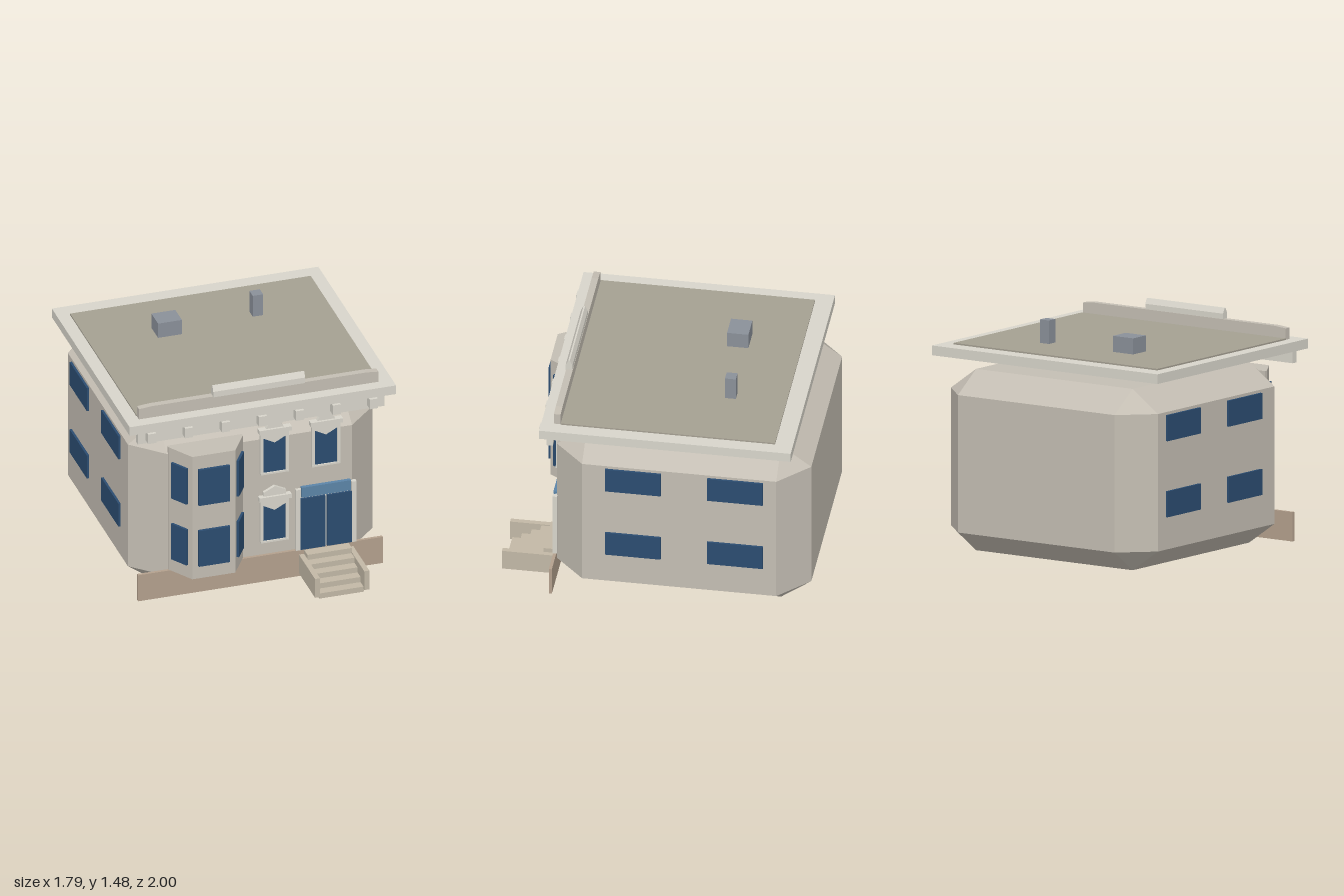
import * as THREE from 'three';
import { ConvexGeometry } from 'three/addons/geometries/ConvexGeometry.js';

const mat = (color) => new THREE.MeshStandardMaterial({ color, flatShading: true });

export function createModel() {
  const house = new THREE.Group();
  house.name = 'house';
  const wall = mat(0xc4beb3), trim = mat(0xd8d5cb), roofing = mat(0xa5a092), glass = mat(0x2b4c70);
  const transomGlass = mat(0x5c85a8), base = mat(0xb3a08d), stone = mat(0xc2b8a6), chimneyGrey = mat(0x8a9099);

  const add = (name, geometry, material, parent = house) => {
    const mesh = new THREE.Mesh(geometry, material);
    mesh.name = name;
    parent.add(mesh);
    return mesh;
  };
  // Box given by its limits on each axis
  const box = (name, material, x0, x1, y0, y1, z0, z1, parent) => {
    const mesh = add(name, new THREE.BoxGeometry(x1 - x0, y1 - y0, z1 - z0), material, parent);
    mesh.position.set((x0 + x1) / 2, (y0 + y1) / 2, (z0 + z1) / 2);
    return mesh;
  };
  // Flat outline extruded towards +z
  const plate = (name, material, points, z0, z1, parent) => {
    const shape = new THREE.Shape(points.map(([x, y]) => new THREE.Vector2(x, y)));
    const geometry = new THREE.ExtrudeGeometry(shape, { depth: z1 - z0, bevelEnabled: false });
    geometry.translate(0, 0, z0);
    return add(name, geometry, material, parent);
  };

  // Main block with wide chamfers on every edge
  const corners = [];
  const half = [0.82, 0.5875, 0.8225], cut = [0.2, 0.142, 0.195];
  for (const sx of [-1, 1]) for (const sy of [-1, 1]) for (const sz of [-1, 1]) {
    for (let keep = 0; keep < 3; keep++) {
      const p = [sx, sy, sz].map((s, i) => s * (half[i] - (i === keep ? 0 : cut[i])));
      corners.push(new THREE.Vector3(p[0], p[1] + 0.5875, p[2] - 0.1775));
    }
  }
  add('mainBlock', new ConvexGeometry(corners), wall);

  // Side windows
  for (const side of [-1, 1]) for (const z of [0.12, -0.54]) for (const y of [0.437, 0.93]) {
    const pane = add('sideWindow', new THREE.BoxGeometry(0.03, 0.168, 0.36), glass);
    pane.position.set(side * 0.82, y, z);
  }

  // Base strip along the front
  box('basePlinth', base, -0.82, 0.82, 0, 0.19, 0.645, 0.665);

  // Roof slab, deck, frieze and brackets
  box('roofSlab', trim, -0.893, 0.893, 1.25, 1.313, -0.91, 0.715);
  box('roofDeck', roofing, -0.808, 0.805, 1.31, 1.323, -0.795, 0.59);
  box('frieze', trim, -0.827, 0.825, 1.157, 1.245, 0.638, 0.68);
  for (let i = 0; i < 7; i++) {
    const x = -0.748 + i * 0.2475;
    box('bracket', trim, x - 0.027, x + 0.027, 1.18, 1.25, 0.67, 0.735);
  }

  // Parapet with a raised, ridged centre
  plate('parapet', wall, [[-0.805, 1.31], [0.8, 1.31], [0.8, 1.387], [0.72, 1.395],
    [-0.72, 1.395], [-0.805, 1.387]], 0.592, 0.635);
  const crest = plate('parapetCrest', trim, [[-0.022, 1.39], [0.022, 1.39], [0.022, 1.43],
    [0.005, 1.465], [-0.005, 1.465], [-0.022, 1.43]], -0.308, 0.308);
  crest.rotation.y = Math.PI / 2;
  crest.position.z = 0.616;

  // Chimneys
  box('chimney', chimneyGrey, -0.37, -0.21, 1.31, 1.427, -0.46, -0.322);
  box('chimney', chimneyGrey, 0.29, 0.36, 1.31, 1.475, -0.47, -0.4);

  // Two-storey bay
  const bay = new THREE.Group();
  bay.name = 'bay';
  bay.position.x = -0.363;
  house.add(bay);
  const bayBody = plate('bayBody', wall, [[-0.25, -0.63], [-0.25, -0.65], [-0.144, -0.82],
    [0.144, -0.82], [0.25, -0.65], [0.25, -0.63]], 0.19, 1.085, bay);
  bayBody.rotation.x = -Math.PI / 2;
  for (const y of [0.415, 0.86]) {
    box('bayFrontWindow', glass, -0.106, 0.104, y - 0.13, y + 0.13, 0.81, 0.84, bay);
    for (const side of [-1, 1]) {
      const pane = add('baySideWindow', new THREE.BoxGeometry(0.13, 0.26, 0.03), glass, bay);
      pane.position.set(side * 0.198, y, 0.736);
      pane.rotation.y = side * Math.atan2(0.17, 0.106);
    }
  }

  // Framed window with head moulding; y is the top of the frame
  const framedWindow = (x, y, height, pediment) => {
    const win = new THREE.Group();
    win.name = 'frontWindow';
    win.position.set(x, y, 0);
    house.add(win);
    box('windowPane', glass, -0.08, 0.08, 0.01 - height, -0.01, 0.64, 0.657, win);
    for (const s of [-1, 1]) box('frameSide', trim, s * 0.085 - 0.01, s * 0.085 + 0.01, -height, 0, 0.64, 0.665, win);
    box('windowSill', trim, -0.095, 0.095, -height, 0.012 - height, 0.64, 0.667, win);
    plate('windowHead', trim, [[-0.085, 0], [-0.085, -0.035], [0, -0.08], [0.085, -0.035], [0.085, 0]], 0.64, 0.664, win);
    box('headMoulding', trim, -0.108, 0.108, 0, 0.03, 0.64, 0.683, win);
    plate('pediment', trim, pediment, 0.64, 0.667, win);
  };
  const flared = [[-0.06, 0.03], [0.06, 0.03], [0.045, 0.055], [0.08, 0.078], [-0.08, 0.078], [-0.045, 0.055]];
  const peaked = [[-0.075, 0.03], [0.075, 0.03], [0.075, 0.058], [0, 0.095], [-0.075, 0.058]];
  framedWindow(0.096, 1.085, 0.305, flared);
  framedWindow(0.44, 1.085, 0.305, flared);
  framedWindow(0.096, 0.592, 0.31, peaked);

  // Entrance: surround, double door and transom light
  box('doorSurround', trim, 0.265, 0.615, 0.19, 0.632, 0.64, 0.655);
  box('doorJamb', trim, 0.237, 0.268, 0.19, 0.632, 0.64, 0.67);
  box('doorJamb', trim, 0.611, 0.643, 0.19, 0.632, 0.64, 0.67);
  box('doorLeaf', glass, 0.268, 0.433, 0.19, 0.562, 0.645, 0.668);
  box('doorLeaf', glass, 0.447, 0.611, 0.19, 0.562, 0.645, 0.668);
  box('transomLight', transomGlass, 0.275, 0.605, 0.572, 0.645, 0.645, 0.67);

  // Entrance steps between low side walls
  for (let i = 0; i < 5; i++) {
    const front = 0.985 - i * 0.0625;
    box('step', stone, 0.292, 0.59, i * 0.0372, (i + 1) * 0.0372, front - 0.08, front);
  }
  box('stepWall', stone, 0.258, 0.292, 0.02, 0.157, 0.66, 1.0);
  box('stepWall', stone, 0.588, 0.622, 0.02, 0.157, 0.66, 1.0);

  return house;
}
